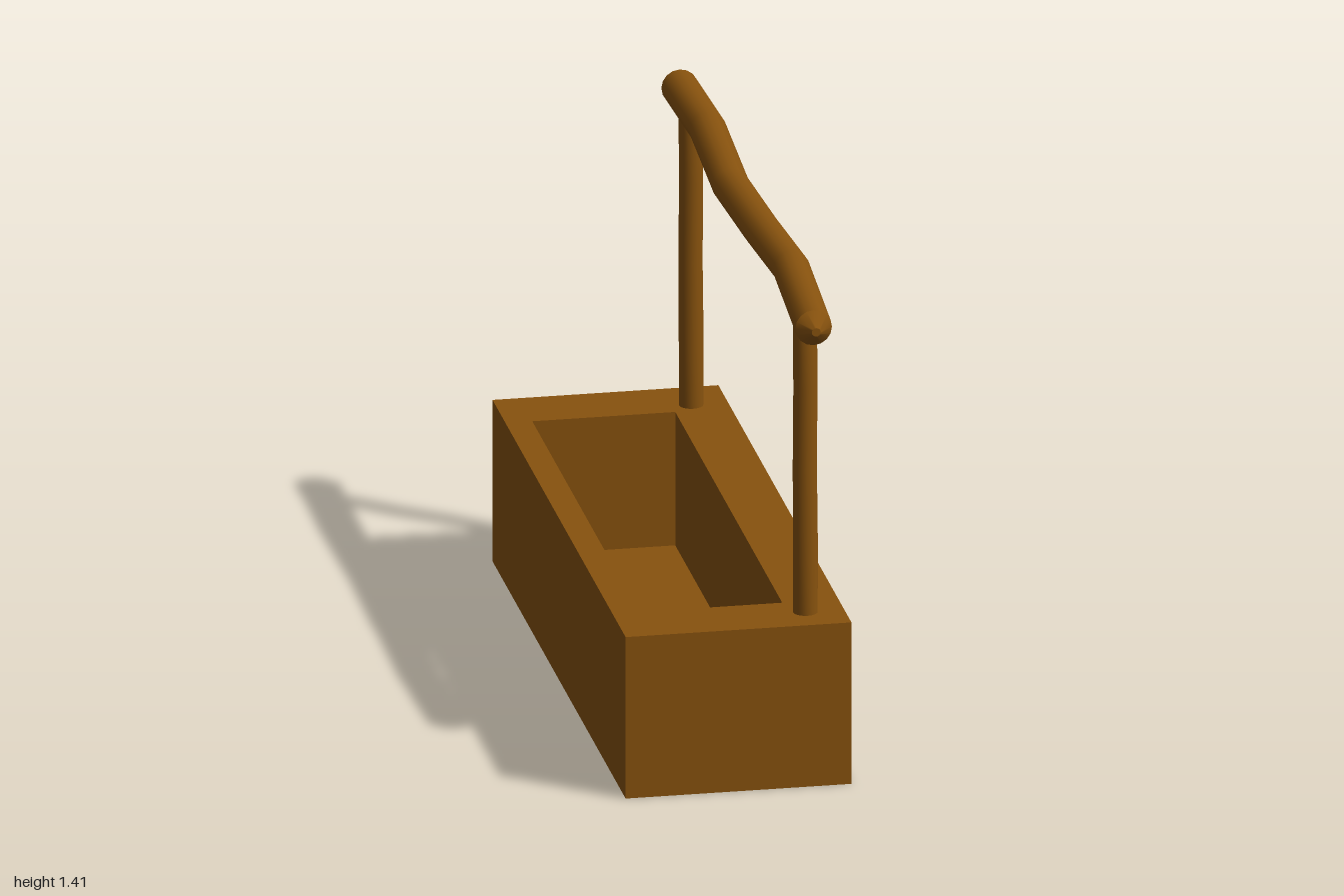
import * as THREE from 'three';
import { toCreasedNormals } from 'three/addons/utils/BufferGeometryUtils.js';

// Crooked round pole along y: rings are [height, radius, x offset, z offset]
function poleGeometry(rings, sides = 16) {
  const profile = rings.map(([h, r]) => new THREE.Vector2(r, h));
  const geo = new THREE.LatheGeometry(profile, sides);
  const pos = geo.attributes.position;
  for (let i = 0; i < pos.count; i++) {
    const [, , dx, dz] = rings[i % rings.length];
    pos.setX(i, pos.getX(i) + dx);
    pos.setZ(i, pos.getZ(i) + dz);
  }
  return geo;
}

export function createModel() {
  const model = new THREE.Group();
  model.name = 'hitchingTrough';
  const wood = new THREE.MeshStandardMaterial({ color: 0x87520e });
  wood.name = 'brown wood';

  const add = (name, geo, parent = model) => {
    const mesh = new THREE.Mesh(geo, wood);
    mesh.name = name;
    parent.add(mesh);
    return mesh;
  };

  // Trough: walls around an off-centre opening, with a floor inside
  const height = 0.46, floor = 0.08;
  const [x0, x1, z0, z1] = [-0.235, 0.155, -0.79, 0.735];
  const trough = new THREE.Group();
  trough.name = 'trough';
  trough.rotation.y = 0.003;
  model.add(trough);

  const rect = (P, a, b, c, d) => new P([
    new THREE.Vector2(a, c), new THREE.Vector2(b, c),
    new THREE.Vector2(b, d), new THREE.Vector2(a, d),
  ]);
  const outline = rect(THREE.Shape, -0.308, 0.308, -0.922, 0.975);
  outline.holes.push(rect(THREE.Path, x0, x1, -z1, -z0));
  const walls = new THREE.ExtrudeGeometry(outline, { depth: height, bevelEnabled: false });
  walls.rotateX(-Math.PI / 2);
  add('troughWalls', walls, trough);

  const base = new THREE.BoxGeometry(x1 - x0, floor, z1 - z0);
  base.translate((x0 + x1) / 2, floor / 2, (z0 + z1) / 2);
  add('troughFloor', base, trough);

  // Two slightly wavy posts
  const post = toCreasedNormals(poleGeometry([
    [0.42, 0, 0, 0], [0.42, 0.033, 0, 0], [0.62, 0.034, 0, 0.003],
    [0.87, 0.033, 0, -0.008], [1.1, 0.033, 0, 0.001],
    [1.29, 0.033, 0, -0.006], [1.315, 0.012, 0, -0.006], [1.315, 0, 0, -0.006],
  ]), 0.6);
  for (const [name, z] of [['frontPost', 0.815], ['backPost', -0.84]]) {
    add(name, post).position.set(0.205, 0, z);
  }

  // Crooked top rail with pointed ends; z offset becomes height once laid down
  const railPath = [
    [-1, 0, 0.197, 1.322], [-1, 0.012, 0.197, 1.322], [-0.962, 0.05, 0.197, 1.322],
    [-0.58, 0.05, 0.202, 1.337], [-0.2, 0.05, 0.193, 1.313], [0.2, 0.05, 0.2, 1.332],
    [0.585, 0.05, 0.21, 1.356], [0.962, 0.05, 0.2, 1.322],
    [1, 0.012, 0.2, 1.322], [1, 0, 0.2, 1.322],
  ];
  const rail = poleGeometry(railPath.map(([z, r, x, y]) => [z, r, x, -y]));
  rail.rotateX(Math.PI / 2);
  add('topRail', toCreasedNormals(rail, 0.6));

  return model;
}
